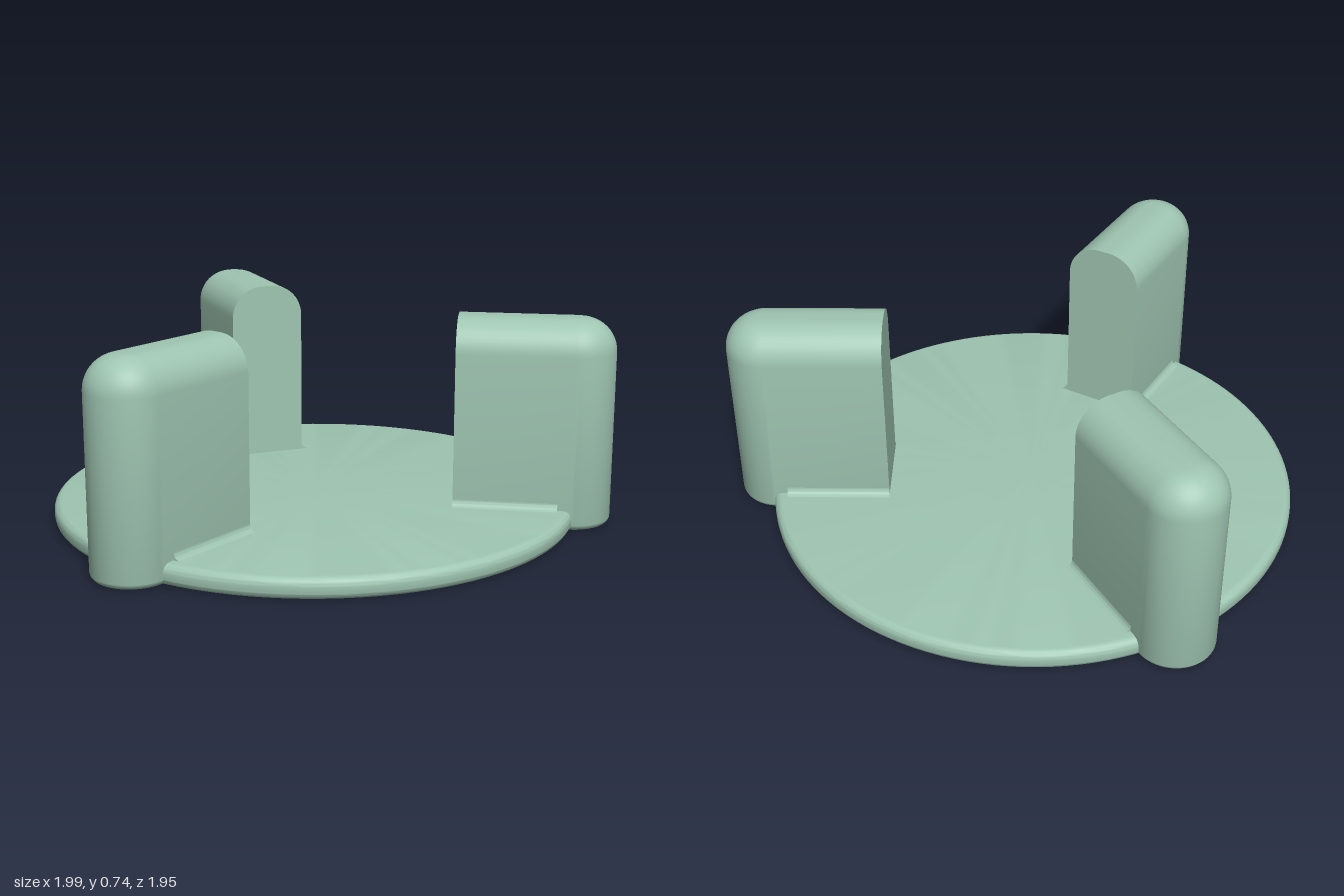
import * as THREE from 'three';
import { toCreasedNormals } from 'three/addons/utils/BufferGeometryUtils.js';

const CX = -0.06, CZ = -0.04;          // disc centre
const DISC_R = 0.94, DISC_H = 0.075, EDGE = 0.03;
const INNER = 0.514, OUTER = 0.925;    // arm: inner face and centre of rounded end
const HALF = 0.14, HEIGHT = 0.74, TOP_R = 0.12;
const FILLET = 0.025;

// Round plate with softened rims
function discGeometry() {
  const pts = [new THREE.Vector2(0, 0)];
  const arc = (cy, from) => {
    for (let i = 0; i <= 8; i++) {
      const a = from + (i / 8) * Math.PI / 2;
      pts.push(new THREE.Vector2(DISC_R - EDGE + EDGE * Math.cos(a), cy + EDGE * Math.sin(a)));
    }
  };
  arc(EDGE, -Math.PI / 2);
  arc(DISC_H - EDGE, 0);
  pts.push(new THREE.Vector2(0, DISC_H));
  return toCreasedNormals(new THREE.LatheGeometry(pts, 128), 0.5);
}

// Upright block: flat inner face, rounded outer end, rounded top and bottom rim
function postGeometry() {
  const levels = [];                   // [inset, height] from bottom to top
  for (let i = 0; i <= 6; i++) {
    const a = (i / 6) * Math.PI / 2;
    levels.push([EDGE * (1 - Math.sin(a)), EDGE * (1 - Math.cos(a))]);
  }
  for (let i = 0; i <= 12; i++) {
    const a = (i / 12) * Math.PI / 2;
    levels.push([TOP_R * (1 - Math.cos(a)), HEIGHT - TOP_R + TOP_R * Math.sin(a)]);
  }
  const pos = [], idx = [], steps = 28, n = steps + 3;
  for (const [inset, y] of levels) {
    const w = HALF - inset;
    pos.push(INNER, y, -w);
    for (let i = 0; i <= steps; i++) {
      const a = (i / steps - 0.5) * Math.PI;
      pos.push(OUTER + w * Math.cos(a), y, w * Math.sin(a));
    }
    pos.push(INNER, y, w);
  }
  const last = (levels.length - 1) * n, bottom = levels.length * n, top = bottom + 1;
  pos.push(0.75, 0, 0, 0.75, HEIGHT, 0);
  for (let i = 0; i < n; i++) {
    const j = (i + 1) % n;
    for (let l = 0; l < last; l += n) {
      idx.push(l + i, l + n + i, l + j, l + j, l + n + i, l + n + j);
    }
    idx.push(bottom, i, j, top, last + j, last + i);
  }
  const g = new THREE.BufferGeometry();
  g.setAttribute('position', new THREE.Float32BufferAttribute(pos, 3));
  g.setIndex(idx);
  return toCreasedNormals(g, 0.5);
}

// Small concave strip where a post's side meets the plate
function filletGeometry() {
  const s = new THREE.Shape();
  s.moveTo(-0.01, -0.01);
  s.lineTo(FILLET, -0.01);
  s.lineTo(FILLET, 0);
  s.absarc(FILLET, FILLET, FILLET, -Math.PI / 2, -Math.PI, true);
  s.lineTo(-0.01, FILLET);
  s.closePath();
  const g = new THREE.ExtrudeGeometry(s, { depth: 0.88 - INNER, bevelEnabled: false, curveSegments: 6 });
  return toCreasedNormals(g, 0.5);
}

export function createModel() {
  const model = new THREE.Group();
  model.name = 'threePostStand';
  const material = new THREE.MeshStandardMaterial({ color: 0x9fc5b2 });
  const part = (geometry, name, parent) => {
    const mesh = new THREE.Mesh(geometry, material);
    mesh.name = name;
    parent.add(mesh);
    return mesh;
  };

  const disc = part(discGeometry(), 'basePlate', model);
  disc.position.set(CX, 0, CZ);

  // Three posts, evenly spaced around the plate
  const post = postGeometry(), fillet = filletGeometry();
  for (let k = 0; k < 3; k++) {
    const arm = new THREE.Group();
    arm.name = 'post' + (k + 1);
    arm.position.set(CX, 0, CZ);
    arm.rotation.y = -THREE.MathUtils.degToRad(-10 + 120 * k);
    model.add(arm);
    part(post, 'postBody', arm);
    for (const side of [-1, 1]) {
      const strip = part(fillet, 'postFillet', arm);
      strip.rotation.y = -side * Math.PI / 2;
      strip.position.set(side > 0 ? 0.88 : INNER, DISC_H, side * HALF);
    }
  }
  return model;
}
